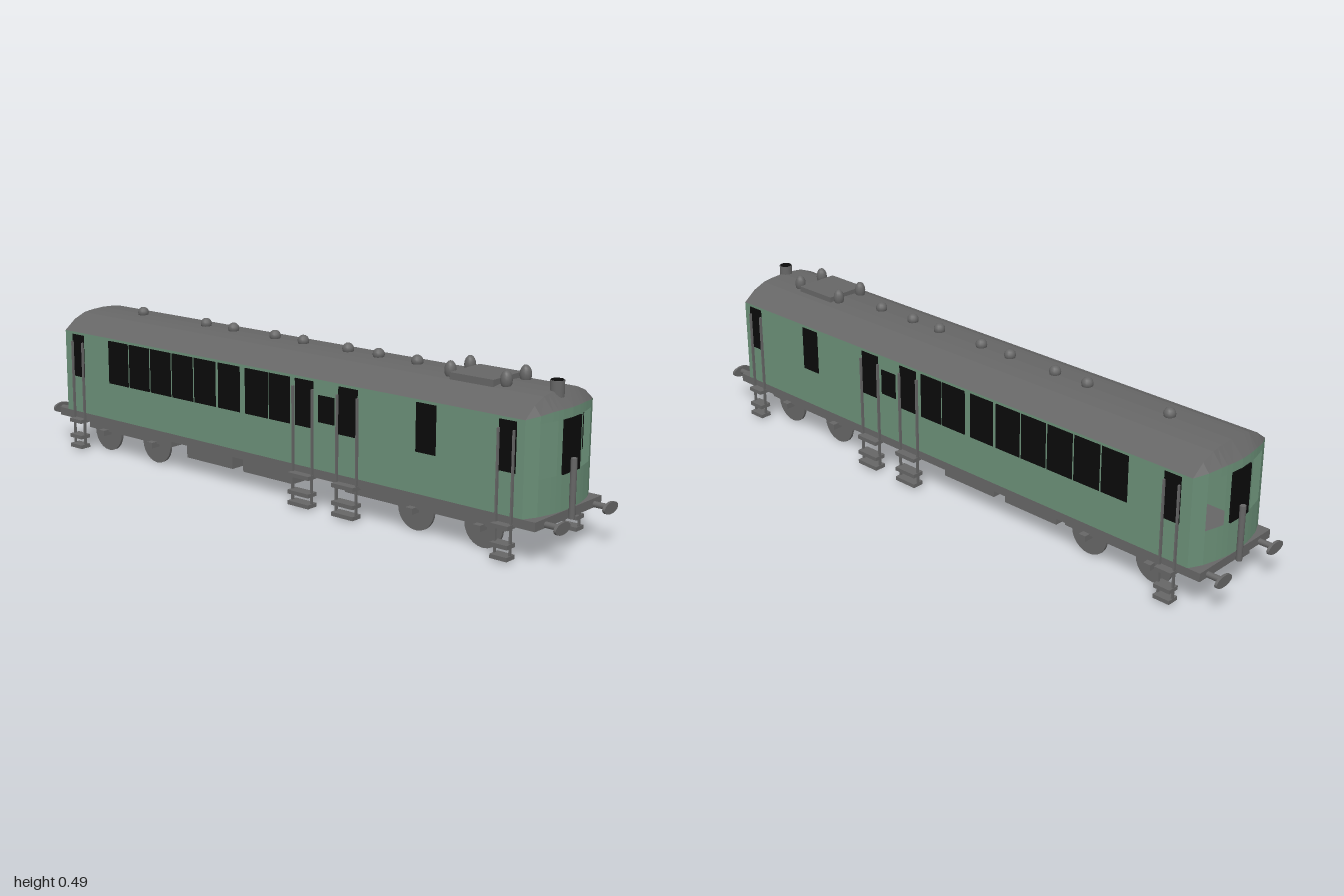
import * as THREE from 'three';

export function createModel() {
  const model = new THREE.Group();
  const mat = (name, color) => new THREE.MeshStandardMaterial({ name, color, side: THREE.DoubleSide });
  const green = mat('body green', 0x6b9078);
  const grey = mat('metal grey', 0x666666);
  const black = mat('window black', 0x0a0a0a);

  const add = (name, geo, material, x = 0, y = 0, z = 0) => {
    const mesh = new THREE.Mesh(geo, material);
    mesh.name = name;
    mesh.position.set(x, y, z);
    model.add(mesh);
    return mesh;
  };
  // box given by its limits
  const box = (name, m, x0, x1, y0, y1, z0, z1) =>
    add(name, new THREE.BoxGeometry(x1 - x0, y1 - y0, z1 - z0), m, (x0 + x1) / 2, (y0 + y1) / 2, (z0 + z1) / 2);
  // flat-shaded faces from a list of four-corner faces
  const quads = (list) => {
    const pos = [];
    for (const [a, b, c, d] of list) pos.push(...a, ...b, ...c, ...a, ...c, ...d);
    const geo = new THREE.BufferGeometry();
    geo.setAttribute('position', new THREE.Float32BufferAttribute(pos, 3));
    geo.computeVertexNormals();
    return geo;
  };

  // half section from side to centre: x, roof height, hem height, end z
  const half = [
    [0.163, 0.393, 0.393, 0.905],
    [0.122, 0.424, 0.399, 0.925],
    [0.08, 0.441, 0.404, 0.936],
    [0.06, 0.444, 0.405, 0.94],
    [0.04, 0.446, 0.405, 0.943],
    [0, 0.448, 0.405, 0.946],
  ];
  const section = [
    ...half.map(([x, ...r]) => [-x, ...r]),
    ...half.slice(0, -1).reverse(),
  ];
  const roofEnd = 0.905, floorY = 0.125, sillY = 0.228, headY = 0.378;

  // roof with sloping hoods at both ends
  const rows = [
    section.map(([x, , h, z]) => [x, h, z]),
    section.map(([x, y]) => [x, y, roofEnd]),
    section.map(([x, y]) => [x, y, -roofEnd]),
    section.map(([x, , h, z]) => [x, h, -z]),
  ];
  const roofFaces = [];
  for (let r = 0; r < 3; r++)
    for (let i = 0; i < section.length - 1; i++)
      roofFaces.push([rows[r][i], rows[r][i + 1], rows[r + 1][i + 1], rows[r + 1][i]]);
  add('roof', quads(roofFaces), grey);

  // side walls
  for (const s of [1, -1]) {
    const a = [s * 0.163, floorY, roofEnd], b = [s * 0.163, floorY, -roofEnd];
    const c = [s * 0.163, 0.393, -roofEnd], d = [s * 0.163, 0.393, roofEnd];
    add('sideWall', quads([s > 0 ? [a, b, c, d] : [b, a, d, c]]), green);
  }

  // bowed end walls with open windows, a door pane and a standing pipe
  for (const s of [1, -1]) {
    const faces = [];
    for (let i = 0; i < section.length - 1; i++) {
      const [x0, , h0, z0] = section[i], [x1, , h1, z1] = section[i + 1];
      const strip = (lo, t0, t1) => {
        const f = [[x0, lo, s * z0], [x1, lo, s * z1], [x1, t1, s * z1], [x0, t0, s * z0]];
        faces.push(s > 0 ? f : f.reverse());
      };
      const mid = Math.abs(x0 + x1) / 2;
      if (mid > 0.06 && mid < 0.122) {
        strip(floorY, sillY, sillY);
        strip(headY, h0, h1);
      } else strip(floorY, h0, h1);
    }
    add('endWall', quads(faces), green);
    add('endDoorPane', new THREE.BoxGeometry(0.082, headY - sillY, 0.008), black, 0, 0.303, s * 0.9445);
    add('endPipe', new THREE.CylinderGeometry(0.009, 0.009, 0.168, 10), grey, -0.002, 0.184, s * 0.956);

    // buffers
    for (const x of [-0.113, 0.127]) {
      add('bufferStem', new THREE.CylinderGeometry(0.009, 0.009, 0.05, 10).rotateX(Math.PI / 2), grey, x, 0.108, s * 0.968);
      const head = add('bufferHead', new THREE.CylinderGeometry(1, 1, 0.008, 24).rotateX(Math.PI / 2), grey, x, 0.108, s * 0.996);
      head.scale.set(0.035, 0.017, 1);
    }
  }

  // underframe
  box('underframe', grey, -0.163, 0.163, 0.099, floorY, -0.946, 0.946);

  // side windows: z from, z to
  const panes = [
    [0.825, 0.88], [0.552, 0.62], [0.275, 0.345], [0.11, 0.18],
    [0.007, 0.09], [-0.09, 0.002], [-0.87, -0.815], [-0.202, -0.112],
  ];
  for (let i = 0; i < 5; i++) panes.push([-0.305 - i * 0.0975, -0.214 - i * 0.0975]);
  for (const s of [1, -1]) {
    const pane = (z0, z1, y0, y1) =>
      add('sideWindow', new THREE.BoxGeometry(0.004, y1 - y0, z1 - z0), black, s * 0.163, (y0 + y1) / 2, (z0 + z1) / 2);
    for (const [z0, z1] of panes) pane(z0, z1, 0.245, 0.385);
    pane(0.2, 0.26, 0.268, 0.348);

    // boarding steps and handrails at each door
    for (const [zc, w] of [[0.85, 0.055], [0.31, 0.08], [0.142, 0.08], [-0.842, 0.055]]) {
      for (const y of [0.099, 0.046, 0.013])
        add('step', new THREE.BoxGeometry(0.037, 0.012, w), grey, s * 0.17, y, zc);
      for (const e of [-1, 1]) {
        const z = zc + e * (w / 2 - 0.003);
        add('handrail', new THREE.BoxGeometry(0.008, 0.26, 0.005), grey, s * 0.168, 0.232, z);
        add('stepHanger', new THREE.BoxGeometry(0.008, 0.092, 0.005), grey, s * 0.169, 0.055, z);
      }
    }
  }

  // bogies
  for (const zc of [0.635, -0.645]) {
    box('bogieFrame', grey, -0.128, 0.128, 0.067, 0.1, zc - 0.195, zc + 0.195);
    for (const dz of [-0.115, 0.115]) {
      add('axle', new THREE.CylinderGeometry(0.008, 0.008, 0.22, 8).rotateZ(Math.PI / 2), grey, 0, 0.063, zc + dz);
      for (const s of [1, -1]) {
        add('wheel', new THREE.CylinderGeometry(0.063, 0.063, 0.008, 24).rotateZ(Math.PI / 2), grey, s * 0.112, 0.063, zc + dz);
        add('axleBox', new THREE.BoxGeometry(0.036, 0.018, 0.024), grey, s * 0.13, 0.064, zc + dz);
      }
    }
  }

  // equipment boxes under the floor
  box('engineBox', grey, -0.066, 0.06, 0.04, 0.1, 0.22, 0.42);
  box('equipmentBox', grey, -0.107, 0.107, 0.039, 0.1, -0.155, 0.05);
  box('equipmentBox', grey, -0.107, 0.107, 0.039, 0.1, -0.4, -0.2);

  // roof fittings
  for (const z of [-0.7, -0.41, -0.29, -0.115, 0, 0.175, 0.29, 0.43])
    add('roofVent', new THREE.SphereGeometry(0.018, 12, 8), grey, -0.003, 0.455, z);
  box('roofHatch', grey, -0.08, 0.06, 0.435, 0.461, 0.6, 0.745);
  for (const x of [-0.053, 0.039])
    for (const z of [0.583, 0.768])
      add('tallVent', new THREE.SphereGeometry(0.017, 12, 8), grey, x, 0.46, z).scale.y = 1.6;
  add('chimney', new THREE.CylinderGeometry(0.02, 0.02, 0.045, 16), grey, -0.014, 0.452, 0.903);
  add('chimneyMouth', new THREE.CylinderGeometry(0.018, 0.018, 0.002, 16), black, -0.014, 0.475, 0.903);

  return model;
}
